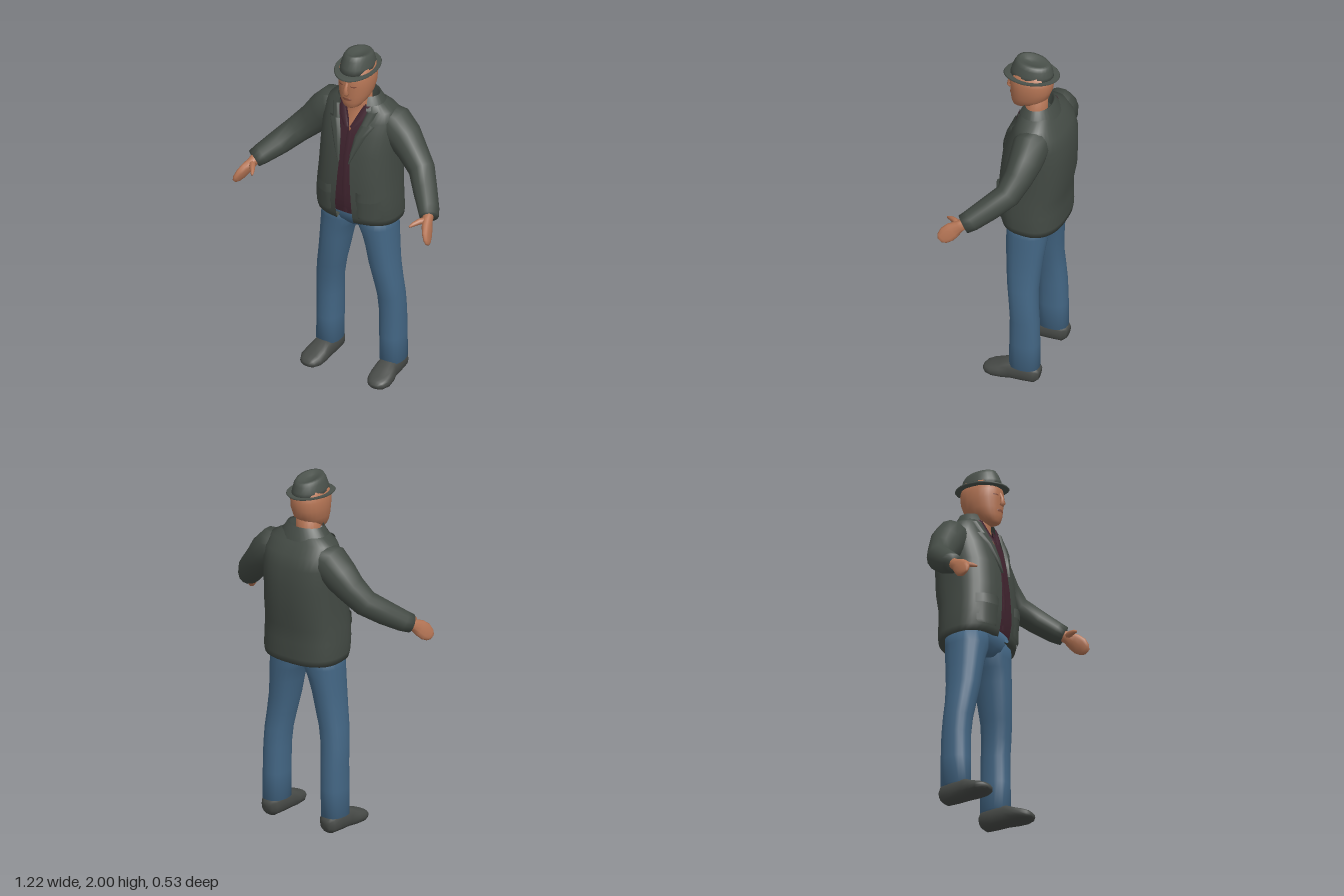
import * as THREE from 'three';

const mat = (name, color, side = THREE.FrontSide) => {
  const m = new THREE.MeshStandardMaterial({ color, side });
  m.name = name;
  return m;
};
const V = (x, y, z) => new THREE.Vector3(x, y, z);
const spow = (v, p) => Math.sign(v) * Math.pow(Math.abs(v), p);

// Skin over a list of point rows; closed rows wrap round, caps fill both ends
function loft(rows, closed = true, caps = closed) {
  const n = rows[0].length, pos = [], idx = [];
  rows.forEach(r => r.forEach(p => pos.push(p.x, p.y, p.z)));
  for (let i = 0; i < rows.length - 1; i++)
    for (let j = 0; j < (closed ? n : n - 1); j++) {
      const a = i * n + j, b = i * n + (j + 1) % n;
      idx.push(a, b, b + n, a, b + n, a + n);
    }
  if (caps) [0, rows.length - 1].forEach((r, end) => {
    const c = rows[r].reduce((s, p) => s.add(p), V(0, 0, 0)).divideScalar(n);
    const k = pos.length / 3;
    pos.push(c.x, c.y, c.z);
    for (let j = 0; j < n; j++) {
      const a = r * n + j, b = r * n + (j + 1) % n;
      end ? idx.push(a, b, k) : idx.push(b, a, k);
    }
  });
  const g = new THREE.BufferGeometry();
  g.setAttribute('position', new THREE.Float32BufferAttribute(pos, 3));
  g.setIndex(idx);
  g.computeVertexNormals();
  return g;
}

// Level sections: [y, half width, front z, back z, front gap, centre x]
function stack(table, p = 1, n = 24) {
  const open = table.some(t => t[4] > 0);
  return table.map(([y, rx, zf, zb, gap = 0, cx = 0]) => {
    const t0 = Math.asin(Math.pow(gap / rx, 1 / p)), row = [];
    for (let j = 0; j < n; j++) {
      const t = t0 + (2 * Math.PI - 2 * t0) * j / (open ? n - 1 : n);
      row.push(V(cx + rx * spow(Math.sin(t), p), y,
        (zf + zb) / 2 + (zf - zb) / 2 * spow(Math.cos(t), p)));
    }
    return row;
  });
}

// Limb through sections [x, y, z, radius along ref, radius across]
function limb(sections, ref, p = 1, n = 14) {
  const c = sections.map(s => V(s[0], s[1], s[2]));
  return loft(sections.map(([, , , ru, rv], i) => {
    const T = c[Math.min(i + 1, c.length - 1)].clone().sub(c[Math.max(i - 1, 0)]).normalize();
    const u = ref.clone().addScaledVector(T, -ref.dot(T)).normalize();
    const v = T.clone().cross(u);
    return Array.from({ length: n }, (_, j) => {
      const t = 2 * Math.PI * j / n;
      return c[i].clone().addScaledVector(u, ru * spow(Math.cos(t), p))
        .addScaledVector(v, rv * spow(Math.sin(t), p));
    });
  }));
}

// Front z of a stack at a given x and y
function frontZ(table, p, x, y) {
  let i = 0;
  while (i < table.length - 2 && table[i + 1][0] < y) i++;
  const a = table[i], b = table[i + 1];
  const k = THREE.MathUtils.clamp((y - a[0]) / (b[0] - a[0]), 0, 1);
  const [, rx, zf, zb] = a.map((v, q) => v + (b[q] - v) * k);
  const s = Math.max(0, 1 - Math.pow(Math.min(1, Math.abs(x) / rx), 2 / p));
  return (zf + zb) / 2 + (zf - zb) / 2 * Math.pow(s, p / 2);
}

// Thin padded piece lying on the front of a stack, rows [y, x0, x1]
function patch(table, p, rows, lift, n = 6) {
  return loft(rows.map(([y, x0, x1]) => Array.from({ length: n + 1 }, (_, j) => {
    const x = x0 + (x1 - x0) * j / n;
    return V(x, y, frontZ(table, p, x, y) + (j % n ? lift : 0.002));
  })), false);
}

function mirror(geo) {
  const g = geo.clone().scale(-1, 1, 1), a = g.index.array;
  for (let i = 0; i < a.length; i += 3) [a[i], a[i + 1]] = [a[i + 1], a[i]];
  g.computeVertexNormals();
  return g;
}

export function createModel() {
  const model = new THREE.Group();
  model.name = 'standingMan';
  const jacketMat = mat('jacket charcoal', 0x434a44, THREE.DoubleSide);
  const hatMat = mat('hat grey', 0x4a514b);
  const shoeMat = mat('shoe grey', 0x474a47);
  const jeansMat = mat('denim blue', 0x436684);
  const shirtMat = mat('shirt plum', 0x40242f, THREE.DoubleSide);
  const skinMat = mat('skin', 0xb57555);
  const faceMat = mat('face detail', 0x8a523f, THREE.DoubleSide);
  const add = (name, geo, m) => {
    const mesh = new THREE.Mesh(geo, m);
    mesh.name = name;
    model.add(mesh);
  };
  const pair = (name, geo, m) => {
    add('left' + name, geo, m);
    add('right' + name, mirror(geo), m);
  };

  // Open jacket, hem turned inwards
  const P = 0.8;
  const body = [
    [0.985, 0.235, 0.09, -0.245, 0.05], [1.02, 0.24, 0.1, -0.25, 0.05],
    [1.1, 0.238, 0.112, -0.25, 0.05], [1.18, 0.232, 0.112, -0.252, 0.045],
    [1.28, 0.225, 0.108, -0.272, 0.038], [1.42, 0.222, 0.092, -0.278, 0.03],
    [1.53, 0.222, 0.062, -0.274, 0.045], [1.6, 0.215, 0.032, -0.25, 0.07],
    [1.655, 0.195, 0.01, -0.205, 0.085], [1.69, 0.135, 0, -0.175, 0.085]];
  const hem = [1.0, 0.2, 0.06, -0.21, 0.05];
  const jacket = stack([hem, ...body], P, 34);
  jacket.slice(0, 3).forEach(r => r.forEach(q => { q.y += 0.06 * (q.z + 0.05); }));
  add('jacketBody', loft(jacket, false), jacketMat);
  add('collar', loft(stack([
    [1.66, 0.095, 0.0, -0.15, 0.07], [1.725, 0.1, -0.015, -0.155, 0.07],
    [1.735, 0.108, -0.01, -0.165, 0.07], [1.665, 0.15, 0.025, -0.2, 0.08]], 1, 26), false), jacketMat);
  pair('Lapel', patch(body, P, [
    [1.37, 0.03, 0.034], [1.45, 0.034, 0.07], [1.53, 0.045, 0.105], [1.59, 0.066, 0.14],
    [1.595, 0.068, 0.115], [1.665, 0.086, 0.14]], 0.014), jacketMat);
  pair('Pocket', patch(body, P, [[1.035, 0.09, 0.19], [1.05, 0.08, 0.2], [1.16, 0.08, 0.2]], 0.008), jacketMat);
  pair('PocketFlap', patch(body, P, [[1.15, 0.078, 0.202], [1.155, 0.076, 0.204], [1.205, 0.078, 0.2]], 0.015), jacketMat);

  // Sleeves, bent forward at the elbow
  pair('Sleeve', limb([
    [0.09, 1.58, -0.12, 0.09, 0.085], [0.19, 1.555, -0.115, 0.1, 0.11],
    [0.25, 1.5, -0.11, 0.092, 0.1], [0.31, 1.435, -0.095, 0.08, 0.085],
    [0.385, 1.36, -0.065, 0.07, 0.075], [0.455, 1.295, 0.015, 0.066, 0.068],
    [0.52, 1.24, 0.09, 0.06, 0.057], [0.545, 1.22, 0.125, 0.054, 0.05]], V(0, 0, 1)), jacketMat);

  // Flat hands with a separate thumb
  const handRef = V(0, 0.7, 0.7);
  pair('Hand', limb([
    [0.53, 1.235, 0.1, 0.03, 0.03], [0.547, 1.205, 0.145, 0.032, 0.026],
    [0.565, 1.18, 0.178, 0.046, 0.024], [0.58, 1.155, 0.205, 0.048, 0.02],
    [0.594, 1.132, 0.226, 0.036, 0.015], [0.601, 1.12, 0.236, 0.018, 0.008]], handRef, 0.85, 12), skinMat);
  pair('Thumb', limb([
    [0.545, 1.21, 0.145, 0.02, 0.022], [0.52, 1.212, 0.185, 0.016, 0.016],
    [0.502, 1.205, 0.215, 0.013, 0.012], [0.49, 1.198, 0.238, 0.006, 0.006]], V(0, 1, 0), 1, 8), skinMat);

  // Shirt with a V neck, placket down the middle
  const shirt = body.map(([y, rx, zf, zb]) => [Math.max(y, 1.04), rx - 0.02, zf - 0.014, zb + 0.02,
    y < 1.56 ? 0.0005 : (y - 1.555) * 0.45]);
  add('shirt', loft(stack(shirt.slice(1), P, 30), false), shirtMat);
  add('shirtPlacket', patch(shirt.slice(1), P, [[1.045, -0.014, 0.014], [1.2, -0.014, 0.014],
    [1.4, -0.014, 0.014], [1.54, -0.012, 0.012]], 0.004, 4), shirtMat);
  pair('ShirtCollar', patch(body, P, [[1.565, 0.004, 0.035], [1.62, 0.028, 0.075],
    [1.69, 0.06, 0.095]], 0.006, 4), shirtMat);

  // Neck, chest and head
  add('neckAndChest', loft(stack([
    [1.5, 0.1, 0.045, -0.16], [1.57, 0.095, 0.028, -0.15], [1.63, 0.08, 0.0, -0.14],
    [1.68, 0.066, 0.0, -0.13], [1.78, 0.066, 0.005, -0.135]])), skinMat);
  const head = [
    [1.688, 0.026, 0.05, 0.0], [1.7, 0.048, 0.062, -0.04], [1.73, 0.072, 0.069, -0.1],
    [1.77, 0.088, 0.072, -0.142], [1.82, 0.097, 0.074, -0.16], [1.87, 0.098, 0.076, -0.165],
    [1.93, 0.086, 0.062, -0.155]];
  add('head', loft(stack(head, 0.92)), skinMat);
  add('nose', limb([[0, 1.86, 0.07, 0.006, 0.008], [0, 1.825, 0.083, 0.01, 0.011],
    [0, 1.797, 0.088, 0.012, 0.018], [0, 1.785, 0.078, 0.01, 0.014]], V(0, 0, 1), 1, 8), skinMat);
  pair('Eye', patch(head, 0.92, [[1.835, 0.026, 0.052], [1.843, 0.022, 0.056]], 0.004, 4), faceMat);
  add('mouth', patch(head, 0.92, [[1.747, -0.02, 0.02], [1.755, -0.029, 0.029], [1.762, -0.018, 0.018]], 0.006), faceMat);

  // Hat: creased crown sloping to the back, brim raised at sides and back
  const crown = stack([
    [1.895, 0.092, 0.078, -0.168], [1.93, 0.087, 0.068, -0.163], [1.965, 0.077, 0.052, -0.155],
    [1.985, 0.066, 0.038, -0.145], [1.988, 0.05, 0.022, -0.128], [1.972, 0.025, 0.0, -0.09]]);
  crown.forEach((r, i) => r.forEach(q => { q.y += 0.045 * i / 3 * Math.min(1, 3 / (i || 1)) * (q.z + 0.05) * 3; }));
  const peak = Math.max(...crown.flat().map(q => q.y));
  crown.slice(2).forEach(r => r.forEach(q => { q.y += 2 - peak; }));
  add('hatCrown', loft(crown), hatMat);
  const brim = stack([
    [1.888, 0.08, 0.07, -0.155], [1.886, 0.112, 0.108, -0.195], [1.89, 0.116, 0.114, -0.2],
    [1.896, 0.112, 0.108, -0.195], [1.905, 0.08, 0.07, -0.155]]);
  brim.slice(1, 4).forEach(r => r.forEach(q => {
    q.y += 0.014 * (q.x / 0.116) ** 2 + 0.016 * Math.max(0, -(q.z + 0.05) / 0.15);
  }));
  add('hatBrim', loft(brim), hatMat);

  // Jeans: pelvis and two legs, sections [y, inner x, outer x, front z, back z]
  add('jeansSeat', loft(stack([[0.925, 0.07, 0.01, -0.14], [0.96, 0.17, 0.04, -0.175],
    [1.0, 0.215, 0.052, -0.19], [1.06, 0.212, 0.055, -0.195]], 0.85)), jeansMat);
  pair('Leg', loft(stack([
    [0.095, 0.13, 0.265, 0.0, -0.17], [0.25, 0.127, 0.265, -0.002, -0.168],
    [0.4, 0.125, 0.263, -0.004, -0.164], [0.5, 0.118, 0.261, 0.004, -0.156],
    [0.6, 0.1, 0.25, 0.018, -0.152], [0.7, 0.077, 0.236, 0.03, -0.158],
    [0.8, 0.058, 0.227, 0.037, -0.168], [0.88, 0.035, 0.222, 0.042, -0.178],
    [0.94, 0.006, 0.219, 0.046, -0.184], [1.04, 0, 0.212, 0.05, -0.19]]
    .map(([y, a, b, f, k]) => [y, (b - a) / 2, f, k, 0, (a + b) / 2]), 0.88, 20)), jeansMat);

  // Shoes, toes turned slightly out
  pair('Shoe', limb([
    [0.195, 0.055, -0.172, 0.035, 0.032], [0.196, 0.058, -0.15, 0.055, 0.053],
    [0.198, 0.06, -0.08, 0.06, 0.058], [0.2, 0.057, -0.01, 0.057, 0.06],
    [0.205, 0.045, 0.04, 0.045, 0.067], [0.21, 0.037, 0.09, 0.035, 0.066],
    [0.213, 0.032, 0.125, 0.025, 0.048], [0.214, 0.03, 0.141, 0.012, 0.025]], V(0, 1, 0), 0.8, 16), shoeMat);

  return model;
}
